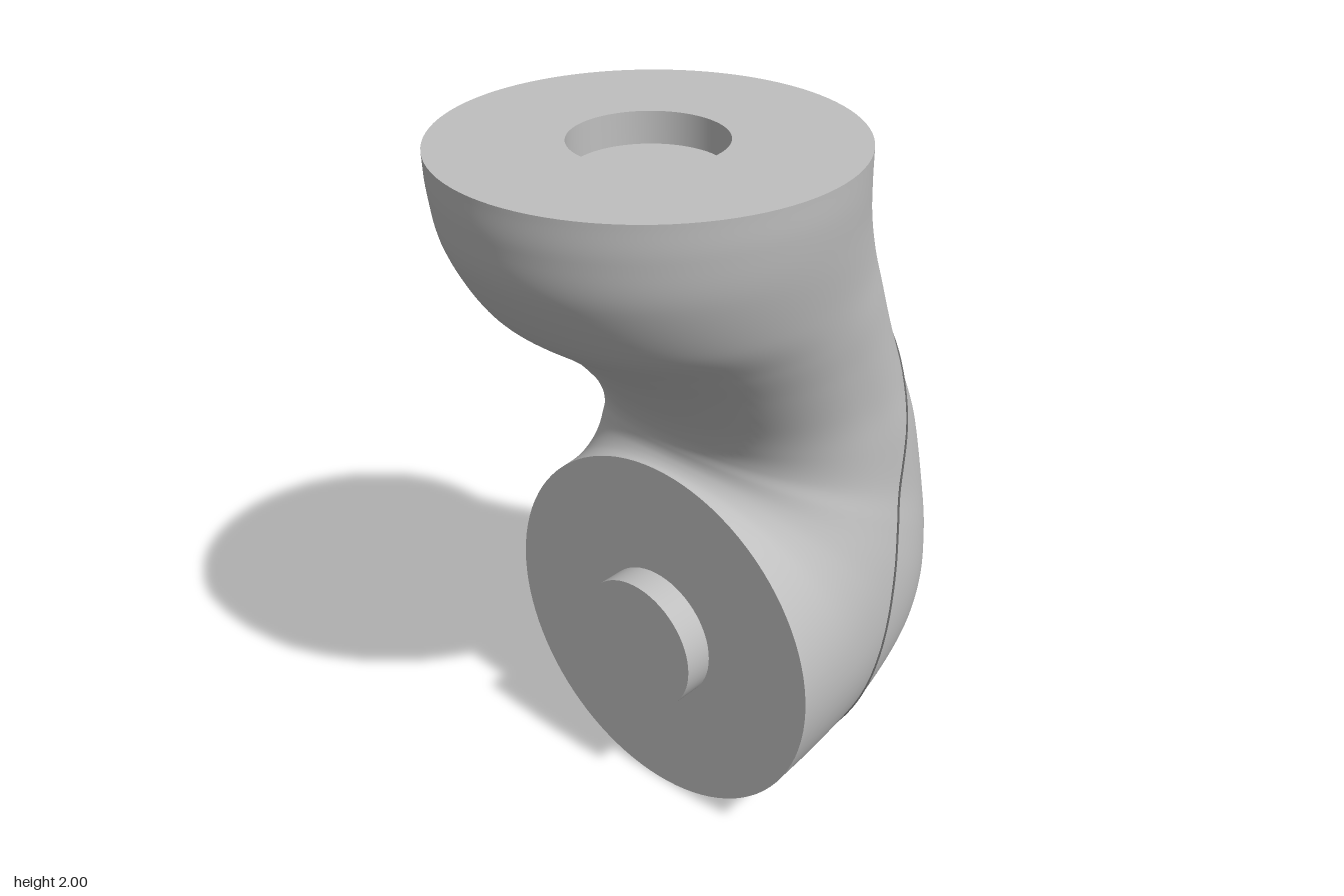
import * as THREE from 'three';

// Stations from the top flange down to the front flange:
// inner z, inner y, outer z, outer y, half width, roundness exponent
const STATIONS = [
  [0.725, 2.0, -0.355, 2.0, 0.54, 2],
  [0.72, 1.9, -0.36, 1.92, 0.535, 2],
  [0.69, 1.77, -0.375, 1.82, 0.52, 2.03],
  [0.59, 1.61, -0.41, 1.7, 0.495, 2.08],
  [0.45, 1.5, -0.45, 1.58, 0.475, 2.12],
  [0.33, 1.4, -0.505, 1.43, 0.455, 2.17],
  [0.22, 1.28, -0.58, 1.25, 0.44, 2.22],
  [0.165, 1.2, -0.65, 1.07, 0.44, 2.27],
  [0.147, 1.16, -0.71, 0.8, 0.445, 2.3],
  [0.144, 1.13, -0.72, 0.6, 0.465, 2.3],
  [0.147, 1.11, -0.69, 0.4, 0.485, 2.25],
  [0.155, 1.095, -0.58, 0.23, 0.5, 2.2],
  [0.165, 1.085, -0.35, 0.09, 0.515, 2.12],
  [0.175, 1.08, -0.08, 0.03, 0.53, 2.05],
  [0.185, 1.08, 0.185, 0, 0.54, 2],
];

const spline = (pick) =>
  new THREE.CatmullRomCurve3(STATIONS.map((s) => new THREE.Vector3(...pick(s))), false, 'catmullrom');
const inner = spline((s) => [0, s[1], s[0]]);
const outer = spline((s) => [0, s[3], s[2]]);
const shape = spline((s) => [s[4], s[5], 0]);

// Point on the elbow skin: t runs along the bend, u runs round the section from the outer side
function skin(t, u) {
  const a = inner.getPoint(t);
  const b = outer.getPoint(t);
  const { x: width, y: power } = shape.getPoint(t);
  const round = (v) => Math.sign(v) * Math.pow(Math.abs(v), 2 / power);
  const p = a.clone().add(b).multiplyScalar(0.5);
  p.addScaledVector(b.sub(a), 0.5 * round(Math.cos(u)));
  p.x = width * round(Math.sin(u));
  return p;
}

function elbowGeometry(rows, cols) {
  const pos = [];
  const index = [];
  for (let i = 0; i <= rows; i++) {
    for (let j = 0; j < cols; j++) {
      pos.push(...skin(i / rows, (j / cols) * Math.PI * 2).toArray());
      if (i === rows) continue;
      const a = i * cols + j;
      const b = i * cols + ((j + 1) % cols);
      index.push(a, b, a + cols, a + cols, b, b + cols);
    }
  }
  const geo = new THREE.BufferGeometry();
  geo.setAttribute('position', new THREE.Float32BufferAttribute(pos, 3));
  geo.setIndex(index);
  geo.computeVertexNormals();
  return geo;
}

function bisect(f, lo, hi) {
  const sign = f(lo) < 0;
  for (let i = 0; i < 30; i++) {
    const mid = (lo + hi) / 2;
    if (f(mid) < 0 === sign) lo = mid;
    else hi = mid;
  }
  return (lo + hi) / 2;
}

// Joint line of the rear cover: where a tilted plane meets the skin
function seamGeometry() {
  const side = (p) => p.z + 0.085 + (0.39 * (p.y - 0.02)) / 1.48;
  const along = (t) => side(skin(t, 0));
  const start = bisect(along, 0, 0.6);
  const end = bisect(along, 0.6, 1);
  const left = [];
  const steps = 48;
  for (let i = 0; i <= steps; i++) {
    const t = start + (end - start) * (0.5 - 0.5 * Math.cos((i / steps) * Math.PI));
    const u = i === 0 || i === steps ? 0 : bisect((v) => side(skin(t, v)), 0, Math.PI);
    left.push(skin(t, u));
  }
  const right = left.slice(1, -1).reverse().map((p) => new THREE.Vector3(-p.x, p.y, p.z));
  return new THREE.TubeGeometry(new THREE.CatmullRomCurve3([...left, ...right], true), 240, 0.004, 6, true);
}

export function createModel() {
  const group = new THREE.Group();
  const grey = new THREE.MeshStandardMaterial({ color: 0xbfbfbf, side: THREE.DoubleSide });
  grey.name = 'light grey';
  const dark = new THREE.MeshStandardMaterial({ color: 0x6a6a6a });
  dark.name = 'seam grey';

  const add = (name, geo, x, y, z, rotX = 0, material = grey) => {
    const mesh = new THREE.Mesh(geo, material);
    mesh.name = name;
    mesh.position.set(x, y, z);
    mesh.rotation.x = rotX;
    group.add(mesh);
  };

  // Bent housing and cover joint
  add('elbowHousing', elbowGeometry(112, 96), 0, 0, 0);
  add('coverSeam', seamGeometry(), 0, 0, 0, 0, dark);

  // Front flange with its round locating boss
  add('frontFlange', new THREE.CircleGeometry(0.54, 96), 0, 0.54, 0.185);
  add('frontBoss', new THREE.CylinderGeometry(0.198, 0.198, 0.085, 64), 0, 0.543, 0.2275, Math.PI / 2);

  // Top flange with its matching socket
  add('topFlange', new THREE.RingGeometry(0.2, 0.54, 96), 0, 2, 0.185, -Math.PI / 2);
  add('socketWall', new THREE.CylinderGeometry(0.2, 0.2, 0.085, 96, 1, true), 0, 1.9575, 0.185);
  add('socketFloor', new THREE.CircleGeometry(0.2, 96), 0, 1.915, 0.185, -Math.PI / 2);

  return group;
}
